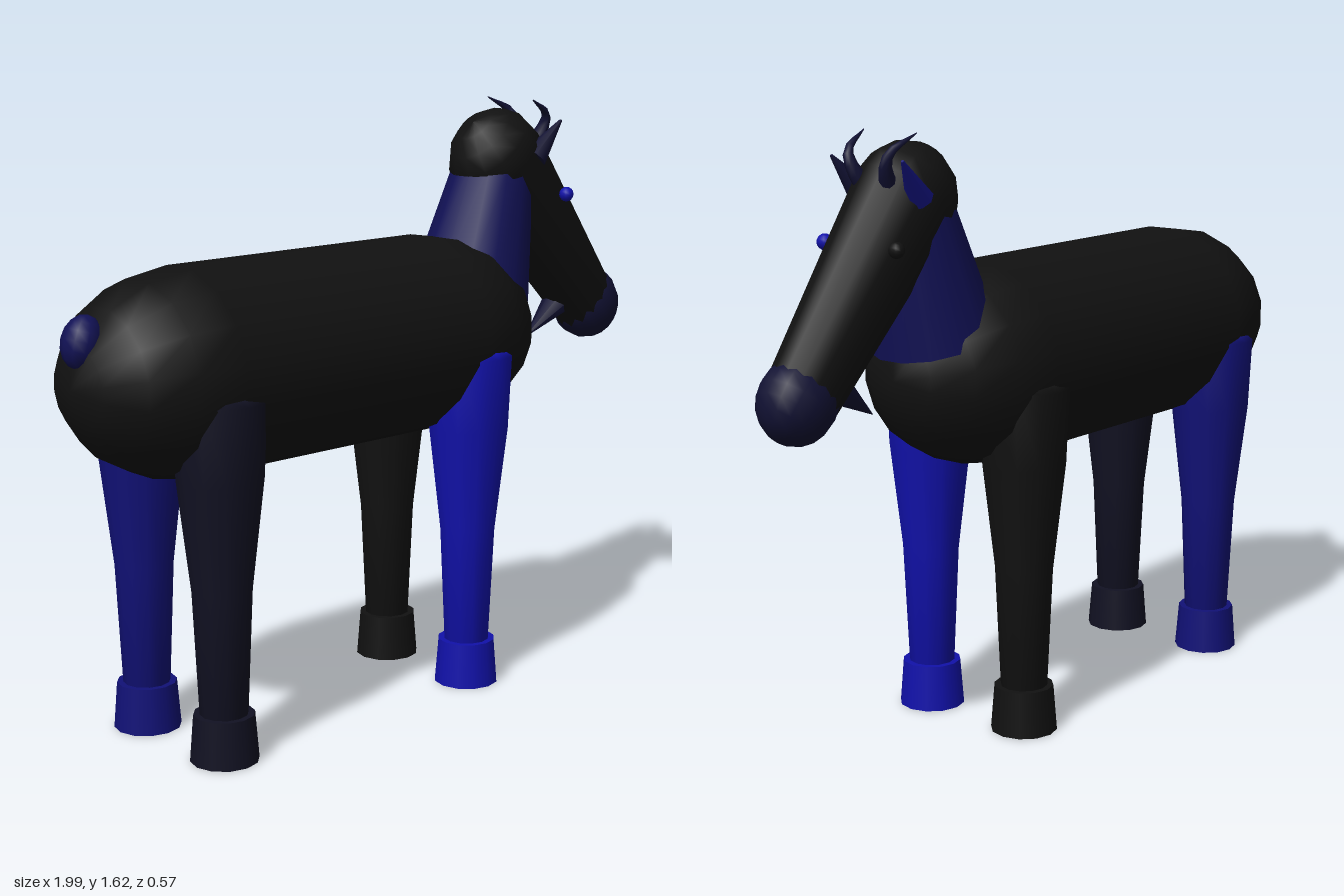
import * as THREE from 'three';

const paint = (name, hex) => {
  const m = new THREE.MeshStandardMaterial({ color: hex });
  m.name = name;
  return m;
};

export function createModel() {
  const goat = new THREE.Group();
  goat.name = 'goat';

  const black = paint('black', 0x111111);
  const brightBlue = paint('brightBlue', 0x1111aa);
  const deepBlue = paint('deepBlue', 0x111177);
  const navy = paint('navy', 0x111155);
  const darkNavy = paint('darkNavy', 0x111133);
  const inkNavy = paint('inkNavy', 0x111122);

  const add = (name, geometry, material, position = [0, 0, 0], parent = goat) => {
    const mesh = new THREE.Mesh(geometry, material);
    mesh.name = name;
    mesh.position.set(...position);
    parent.add(mesh);
    return mesh;
  };
  const lathe = (points, segments) =>
    new THREE.LatheGeometry(points.map(([r, y]) => new THREE.Vector2(r, y)), segments);

  // Cylinder or cone running between two points
  const limb = (name, from, to, rFrom, rTo, material, segments = 12) => {
    const a = new THREE.Vector3(...from), b = new THREE.Vector3(...to);
    const d = b.clone().sub(a);
    const mesh = add(name, new THREE.CylinderGeometry(rTo, rFrom, d.length(), segments), material);
    mesh.position.copy(a).add(b).multiplyScalar(0.5);
    mesh.quaternion.setFromUnitVectors(new THREE.Vector3(0, 1, 0), d.normalize());
    return mesh;
  };

  // Barrel body: a capsule lying along x
  const barrel = new THREE.CapsuleGeometry(0.272, 0.68, 4, 16);
  barrel.rotateY(Math.PI / 16).rotateZ(Math.PI / 2).scale(1.25, 1, 1);
  add('body', barrel, black, [-0.22, 0.985, 0]);

  // Tapered legs with hooves, each in its own colour
  const legShape = lathe([[0, 0.1], [0.062, 0.1], [0.078, 0.45], [0.112, 0.74], [0.121, 0.94], [0.1, 0.957], [0, 0.957]], 12);
  const hoofShape = new THREE.CylinderGeometry(0.08, 0.09, 0.125, 12);
  const legs = [
    ['frontLeftLeg', 0.222, 0.164, brightBlue],
    ['frontRightLeg', 0.222, -0.164, black],
    ['rearLeftLeg', -0.655, 0.164, inkNavy],
    ['rearRightLeg', -0.655, -0.164, deepBlue],
  ];
  for (const [name, x, z, material] of legs) {
    const leg = new THREE.Group();
    leg.name = name;
    leg.position.set(x, 0, z);
    goat.add(leg);
    add('shank', legShape, material, [0, 0, 0], leg);
    add('hoof', hoofShape, material, [0, 0.0625, 0], leg);
  }

  // Neck
  limb('neck', [0.39, 1.08, 0], [0.48, 1.42, 0], 0.17, 0.115, navy, 14);

  // Head: tapered capsule sloping down to the muzzle
  const cap = [0, 1, 2, 3, 4].map((i) => {
    const t = (i / 4) * Math.PI / 2;
    return [0.146 * Math.cos(t), 0.606 + 0.146 * Math.sin(t)];
  });
  const head = add('head', lathe([[0, -0.08], [0.07, -0.065], [0.1, 0], ...cap], 14), black, [0.885, 0.985, 0]);
  head.rotation.z = 0.709;
  head.scale.z = 0.86;
  const muzzle = add('muzzle', new THREE.SphereGeometry(0.11, 14, 10), darkNavy, [0.885, 0.992, 0]);
  muzzle.rotation.z = 0.709;
  muzzle.scale.set(0.98, 1, 0.86);

  // Beard under the chin
  limb('beard', [0.79, 1.03, 0], [0.623, 0.915, 0], 0.053, 0.001, darkNavy, 8);

  // Swept horn: a tube thinned towards the tip
  const horn = (s) => {
    const points = [[0.585, 1.47, 0.04], [0.622, 1.53, 0.055], [0.622, 1.568, 0.068], [0.543, 1.615, 0.088]]
      .map(([x, y, z]) => new THREE.Vector3(x, y, s * z));
    const curve = new THREE.CatmullRomCurve3(points);
    const tube = new THREE.TubeGeometry(curve, 8, 0.026, 8);
    const pos = tube.attributes.position, v = new THREE.Vector3();
    for (let i = 0; i < pos.count; i++) {
      const t = tube.attributes.uv.getX(i);
      const c = curve.getPointAt(t);
      v.fromBufferAttribute(pos, i).sub(c).multiplyScalar(1 - 0.95 * t).add(c);
      pos.setXYZ(i, v.x, v.y, v.z);
    }
    tube.computeVertexNormals();
    return tube;
  };

  // Paired horns, ears and eyes
  for (const [side, s, earColor, eyeColor] of [['left', 1, darkNavy, brightBlue], ['right', -1, deepBlue, black]]) {
    add(side + 'Horn', horn(s), darkNavy);
    limb(side + 'Ear', [0.545, 1.455, s * 0.097], [0.63, 1.555, s * 0.118], 0.036, 0.004, earColor, 8);
    add(side + 'Eye', new THREE.SphereGeometry(0.021, 10, 8), eyeColor, [0.657, 1.343, s * 0.12]);
  }

  // Stubby tail
  const tail = add('tail', new THREE.SphereGeometry(0.055, 10, 8), navy, [-0.944, 1.1, 0]);
  tail.scale.set(0.95, 1.25, 0.95);
  tail.rotation.z = -0.3;

  return goat;
}
